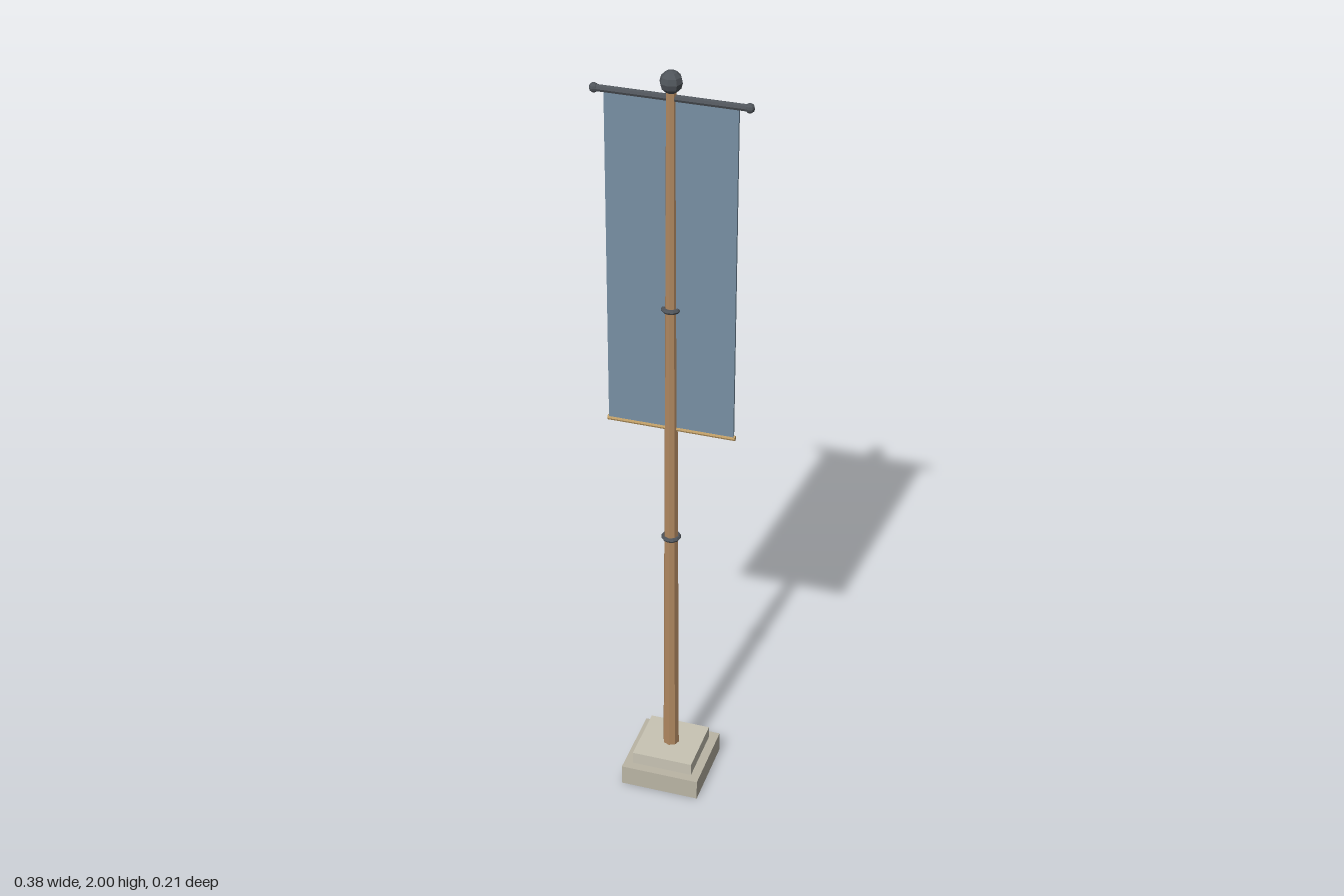
import * as THREE from 'three';

const paint = (color) => new THREE.MeshStandardMaterial({ color, flatShading: true });

export function createModel() {
  const model = new THREE.Group();
  const stone = paint(0xbab5a5), paleStone = paint(0xc8c4b4), wood = paint(0xb08860);
  const iron = paint(0x50555b), cloth = paint(0x7890a4), trim = paint(0xc2a068);

  const add = (name, geometry, material, x, y, z = 0) => {
    const mesh = new THREE.Mesh(geometry, material);
    mesh.name = name;
    mesh.position.set(x, y, z);
    model.add(mesh);
    return mesh;
  };
  const rod = (name, radius, length, material, y) => {
    add(name, new THREE.CylinderGeometry(radius, radius, length, 8), material, 0, y).rotation.z = Math.PI / 2;
  };

  // Stepped stone base
  add('basePlinth', new THREE.BoxGeometry(0.206, 0.056, 0.206), stone, 0, 0.028);
  add('baseStep', new THREE.BoxGeometry(0.16, 0.034, 0.16), paleStone, 0, 0.073);

  // Tapered pole with iron bands and a ball on top
  add('pole', new THREE.CylinderGeometry(0.0125, 0.021, 1.87, 8), wood, 0, 1.025);
  for (const [y, radius] of [[0.75, 0.019], [1.4, 0.0185]]) {
    add('poleBand', new THREE.TorusGeometry(radius, 0.006, 6, 12), iron, 0, y).rotation.x = Math.PI / 2;
  }
  add('finial', new THREE.SphereGeometry(0.027, 8, 6), iron, 0, 1.973);

  // Crossbar with end knobs
  rod('crossbar', 0.0085, 0.364, iron, 1.935);
  for (const side of [-1, 1]) {
    add('crossbarKnob', new THREE.SphereGeometry(0.0115, 8, 6), iron, side * 0.181, 1.935);
  }

  // Hanging banner and its hem rod
  add('banner', new THREE.BoxGeometry(0.314, 0.862, 0.008), cloth, 0, 1.504);
  rod('bannerHem', 0.0065, 0.322, trim, 1.071);

  return model;
}
